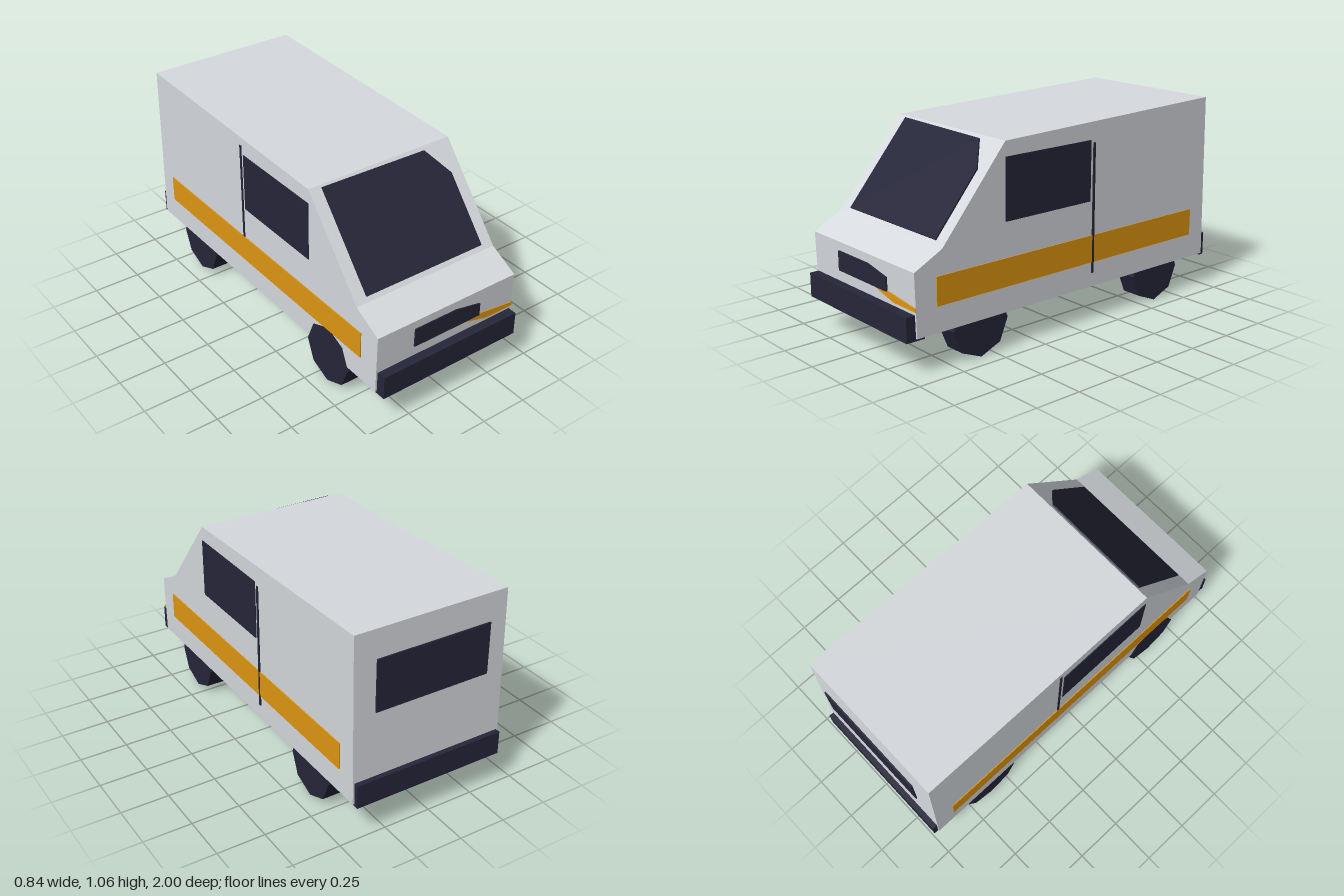
import * as THREE from 'three';

const mat = (name, color) => {
  const m = new THREE.MeshStandardMaterial({ color });
  m.name = name;
  return m;
};

export function createModel() {
  const van = new THREE.Group();
  van.name = 'van';
  const paint = mat('body grey', 0xd6dade);
  const dark = mat('dark trim', 0x26263a);
  const orange = mat('stripe orange', 0xe09612);

  const add = (name, geometry, material, x = 0, y = 0, z = 0) => {
    const mesh = new THREE.Mesh(geometry, material);
    mesh.name = name;
    mesh.position.set(x, y, z);
    van.add(mesh);
    return mesh;
  };
  const extrude = (points, depth) => new THREE.ExtrudeGeometry(
    new THREE.Shape(points.map(([x, y]) => new THREE.Vector2(x, y))), { depth, bevelEnabled: false });
  // Box given by its limits
  const block = (name, material, x0, x1, y0, y1, z0, z1) => add(name,
    new THREE.BoxGeometry(x1 - x0, y1 - y0, z1 - z0), material, (x0 + x1) / 2, (y0 + y1) / 2, (z0 + z1) / 2);

  // Body: side profile (z, y) drawn across the width
  const half = 0.417;
  const body = extrude([[-0.975, 0.185], [0.948, 0.185], [0.957, 0.5], [0.8, 0.58], [0.43, 1.02], [-0.96, 1.057]], half * 2);
  body.rotateY(-Math.PI / 2);
  add('body', body, paint, half);

  // Windscreen lying on the sloped front, one corner cut
  const rise = 0.44, run = 0.37, slope = Math.hypot(rise, run) / rise;
  const glass = [[-0.35, 0.6], [0.35, 0.6], [0.35, 0.89], [0.25, 1.003], [-0.35, 1.01]]
    .map(([x, y]) => [x, (y - 0.58) * slope]);
  add('windscreen', extrude(glass, 0.008), dark, 0, 0.58, 0.8).rotation.x = -Math.atan2(run, rise);

  // Grille and the stripe end wrapping onto the nose
  add('grille', extrude([[-0.2, 0.355], [0.2, 0.355], [0.2, 0.425], [0.05, 0.455], [-0.2, 0.455]], 0.009), dark, 0, 0, 0.953);
  add('noseStripe', extrude([[0.1, 0.353], [0.25, 0.315], [0.42, 0.315], [0.42, 0.333], [0.2, 0.36]], 0.005), orange, 0, 0, 0.952);

  // Bumpers and rear window
  block('frontBumper', dark, -0.408, 0.408, 0.173, 0.297, 0.9, 1);
  block('rearBumper', dark, -0.408, 0.408, 0.173, 0.297, -1, -0.97);
  block('rearWindow', dark, -0.31, 0.31, 0.65, 0.92, -0.987, -0.979);

  // Side details and octagonal wheels
  const wheel = new THREE.CylinderGeometry(0.162, 0.162, 0.112, 8).toNonIndexed();
  wheel.rotateZ(Math.PI / 2);
  wheel.computeVertexNormals();
  for (const s of [1, -1]) {
    const side = s > 0 ? 'left' : 'right';
    const plate = (name, material, out, y0, y1, z0, z1) =>
      block(side + name, material, s > 0 ? 0.415 : -out, s > 0 ? out : -0.415, y0, y1, z0, z1);
    plate('SideWindow', dark, 0.421, 0.635, 0.945, -0.115, 0.43);
    plate('Stripe', orange, 0.422, 0.315, 0.457, -0.865, 0.837);
    if (s > 0) plate('DoorSeam', dark, 0.4225, 0.258, 0.93, -0.144, -0.131);
    else plate('DoorSeam', dark, 0.421, 0.45, 0.99, -0.144, -0.131);
    for (const [end, z] of [['Front', 0.58], ['Rear', -0.606]]) {
      const x = s < 0 && end === 'Front' ? -0.363 : s * 0.36;
      add(side + end + 'Wheel', wheel, dark, x, 0.162, z);
    }
  }
  return van;
}
